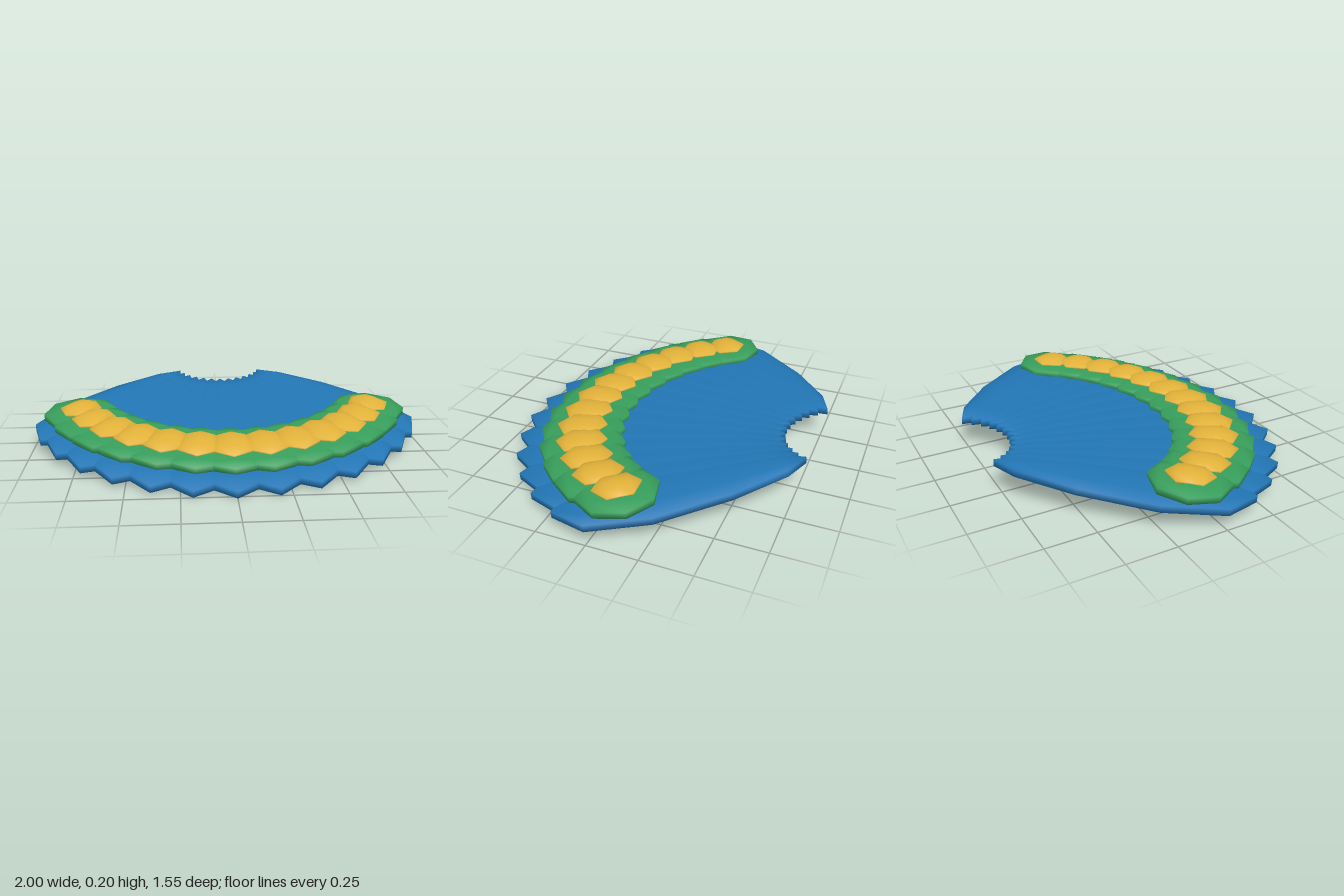
import * as THREE from 'three';
import { mergeVertices } from 'three/addons/utils/BufferGeometryUtils.js';

const paint = (name, color) => {
  const m = new THREE.MeshStandardMaterial({ color });
  m.name = name;
  return m;
};
const blue = paint('feather blue', 0x2276b5);
const green = paint('eye green', 0x379e5b);
const gold = paint('eye gold', 0xe1b139);

// Closed lens with a short upright rim, smooth all over.
// Stations are [z, half width, dome share] from back to tip.
function lens(stations, rim, topDome, bottomDome) {
  const across = [-1, -0.55, 0, 0.55, 1];
  const points = [], index = [];
  for (const [z, w, h] of stations) {
    for (const u of across) points.push(u * w, rim / 2 + topDome * h * (1 - u * u), z);
    for (const u of across) points.push(-u * w, -rim / 2 - bottomDome * h * (1 - u * u), z);
  }
  const n = across.length * 2;
  for (let i = 0; i < stations.length - 1; i++) {
    for (let j = 0; j < n; j++) {
      const k = (j + 1) % n;
      const a = i * n + j, b = i * n + k, c = a + n, d = b + n;
      index.push(a, c, b, b, c, d);
    }
  }
  const g = new THREE.BufferGeometry();
  g.setAttribute('position', new THREE.Float32BufferAttribute(points, 3));
  g.setIndex(index);
  const merged = mergeVertices(g, 1e-4);
  merged.computeVertexNormals();
  return merged;
}

// Long vane, lengths for the middle feather
const vane = lens([
  [0, 0, 0], [0.14, 0.088, 0.5], [0.48, 0.185, 0.9],
  [0.92, 0.24, 1], [1.26, 0.178, 0.65], [1.4, 0, 0],
], 0.034, 0.024, 0.016);

// Eight-sided outer eye
const outerEye = lens([
  [-0.225, 0, 0], [-0.159, 0.156, 0.6], [0, 0.22, 1], [0.159, 0.156, 0.6], [0.225, 0, 0],
], 0.032, 0.022, 0);

// Six-sided inner eye
const innerEye = lens([
  [-0.135, 0, 0], [-0.07, 0.103, 0.75], [0, 0.103, 1], [0.07, 0.103, 0.75], [0.135, 0, 0],
], 0.016, 0.03, 0);

export function createModel() {
  const model = new THREE.Group();
  model.name = 'featherFan';
  const fan = new THREE.Group();
  fan.name = 'fan';
  fan.position.y = 0.091;
  fan.rotation.x = Math.atan(0.0925);
  model.add(fan);

  const eyeZ = 1.045;
  for (let k = -6; k <= 6; k++) {
    const t = k / 6, arc = THREE.MathUtils.degToRad(66 * t);
    const s = 1 - 0.14 * t * t;
    const feather = new THREE.Group();
    feather.name = 'feather' + (k + 7);
    // roots on a small arc, vanes spread by a smaller angle
    feather.position.set(0.26 * Math.sin(arc), 0, -0.885 + 0.26 * Math.cos(arc));
    feather.rotation.y = THREE.MathUtils.degToRad(36 * t);
    feather.scale.set(s, 1, s);
    const add = (name, geometry, material, y, z) => {
      const mesh = new THREE.Mesh(geometry, material);
      mesh.name = name;
      mesh.position.set(0, y, z);
      feather.add(mesh);
    };
    add('vane', vane, blue, 0, 0);
    add('outerEye', outerEye, green, 0.045, eyeZ);
    add('innerEye', innerEye, gold, 0.074, eyeZ);
    fan.add(feather);
  }
  return model;
}
